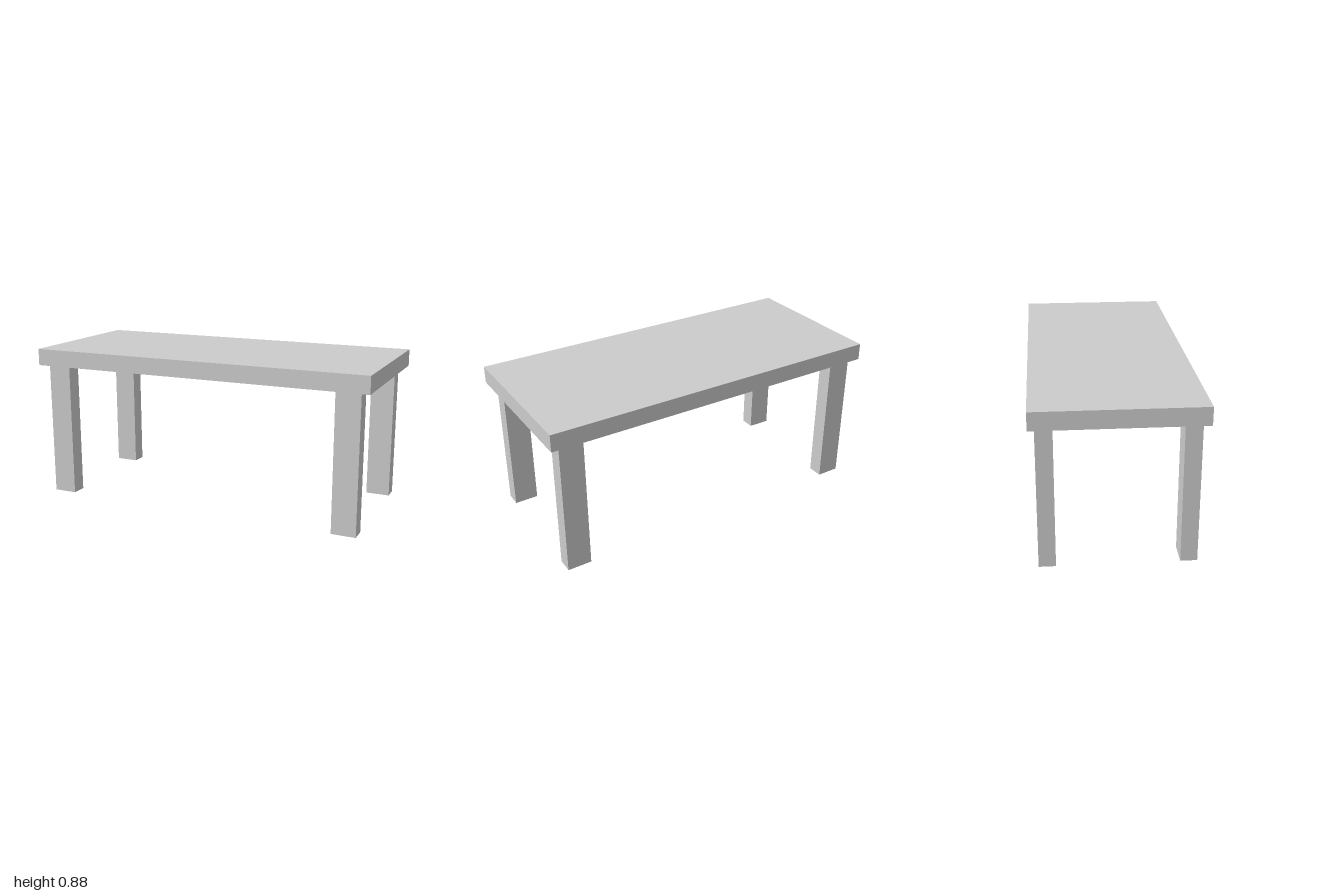
import * as THREE from 'three';

const HALF_X = 1, HALF_Z = 0.444;         // table top half size
const IN_X = 0.948, IN_Z = 0.411;         // recess walls, flush with the legs' outer faces
const LEG_X = 0.137, LEG_Z = 0.089;       // leg section
const FLARE_X = 0.312, FLARE_Z = 0.212;   // brace size where it meets the ceiling
const RIM_Y = 0.78, CEILING_Y = 0.86, TOP_Y = 0.877;

const rectangle = (Type, hx, hz) => new Type([
  new THREE.Vector2(-hx, -hz), new THREE.Vector2(hx, -hz),
  new THREE.Vector2(hx, hz), new THREE.Vector2(-hx, hz),
]);

// Block from y0 to y1 with its outer corner at (sx * IN_X, sz * IN_Z); sizes may differ at bottom and top
function cornerBlock(sx, sz, y0, y1, bottom, top) {
  const geometry = new THREE.BoxGeometry(1, 1, 1);
  const p = geometry.attributes.position;
  for (let i = 0; i < p.count; i++) {
    const upper = p.getY(i) > 0;
    const [w, d] = upper ? top : bottom;
    const x = p.getX(i) * sx > 0 ? IN_X : IN_X - w;
    const z = p.getZ(i) * sz > 0 ? IN_Z : IN_Z - d;
    p.setXYZ(i, sx * x, upper ? y1 : y0, sz * z);
  }
  geometry.computeVertexNormals();
  return geometry;
}

export function createModel() {
  const group = new THREE.Group();
  const material = new THREE.MeshStandardMaterial({ color: 0xcccccc, flatShading: true });
  const add = (name, geometry) => {
    const mesh = new THREE.Mesh(geometry, material);
    mesh.name = name;
    group.add(mesh);
    return mesh;
  };

  // Thin top panel, which is also the ceiling of the recess
  add('topPanel', new THREE.BoxGeometry(2 * HALF_X, TOP_Y - CEILING_Y, 2 * HALF_Z))
    .position.y = (TOP_Y + CEILING_Y) / 2;

  // Rim hanging below the panel, open in the middle
  const rim = rectangle(THREE.Shape, HALF_X, HALF_Z);
  rim.holes.push(rectangle(THREE.Path, IN_X, IN_Z));
  const rimGeometry = new THREE.ExtrudeGeometry(rim, { depth: CEILING_Y - RIM_Y, bevelEnabled: false });
  rimGeometry.rotateX(-Math.PI / 2);
  add('rim', rimGeometry).position.y = RIM_Y;

  // Four legs, each with a brace flaring inwards under the top
  const section = [LEG_X, LEG_Z];
  for (const sx of [-1, 1]) {
    for (const sz of [-1, 1]) {
      const side = (sz > 0 ? 'front' : 'back') + (sx > 0 ? 'Left' : 'Right');
      add(side + 'Leg', cornerBlock(sx, sz, 0, RIM_Y, section, section));
      add(side + 'Brace', cornerBlock(sx, sz, RIM_Y, CEILING_Y, section, [FLARE_X, FLARE_Z]));
    }
  }
  return group;
}
